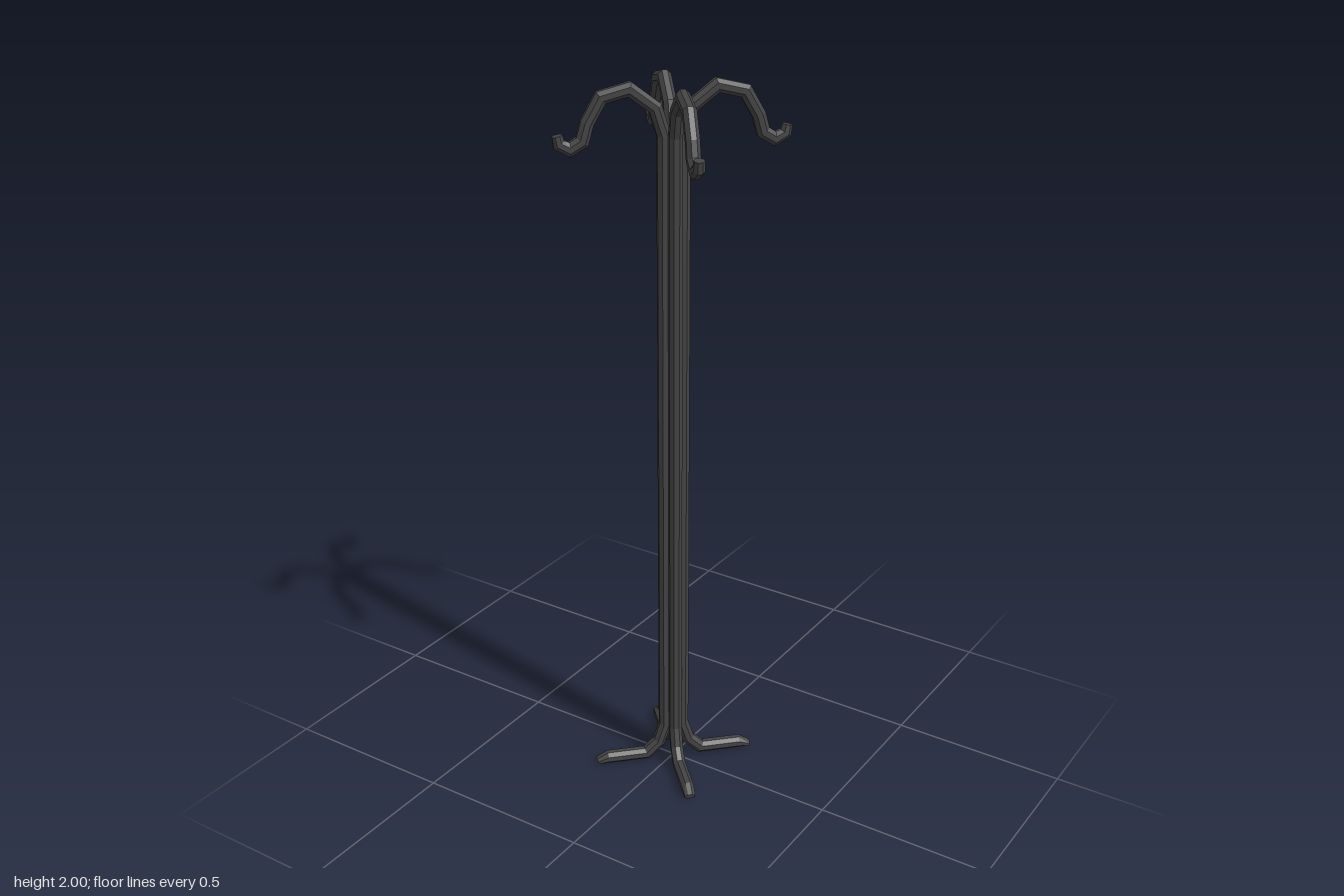
import * as THREE from 'three';

const SIDES = 8;
const RADIUS = 0.0189; // circumradius of the octagonal bar

// Bar centre line: [x offset, height, in-plane thickness, sideways thickness]
const PATH = [
  [0.161, 0.009, 0.45, 0.85],
  [0.138, 0.0175, 1, 1],
  [0.057, 0.0175, 1, 1],
  [0.031, 0.053, 1, 1],
  [0.0177, 0.112, 1, 1],
  [0.0177, 1.862, 1, 1],
  [0.033, 1.932, 1, 1],
  [0.079, 1.982, 1, 1],
  [0.13, 1.964, 1, 1],
  [0.155, 1.902, 1, 1],
  [0.164, 1.857, 1, 1],
  [0.186, 1.838, 0.95, 0.95],
  [0.205, 1.852, 0.85, 0.85],
  [0.208, 1.874, 0.75, 0.75],
];

// Sweeps an octagon along the path with mitred bends and closed ends
function barGeometry() {
  const pts = PATH.map(([x, y]) => new THREE.Vector2(x * Math.SQRT2, y));
  const pos = [];
  const idx = [];
  const last = pts.length - 1;
  pts.forEach((p, i) => {
    const before = pts[i].clone().sub(pts[Math.max(i - 1, 0)]).normalize();
    const after = pts[Math.min(i + 1, last)].clone().sub(p).normalize();
    const t = before.clone().add(after).normalize();
    const mitre = 1 / Math.max(0.6, t.dot(i === 0 ? after : before));
    for (let j = 0; j < SIDES; j++) {
      const a = ((j + 0.5) / SIDES) * Math.PI * 2;
      const n = Math.cos(a) * RADIUS * PATH[i][2] * mitre;
      pos.push(p.x - t.y * n, p.y + t.x * n, Math.sin(a) * RADIUS * PATH[i][3]);
    }
  });
  for (let i = 0; i < last; i++) {
    for (let j = 0; j < SIDES; j++) {
      const a = i * SIDES + j;
      const b = i * SIDES + ((j + 1) % SIDES);
      idx.push(a, b, b + SIDES, a, b + SIDES, a + SIDES);
    }
  }
  // End caps
  const end = last * SIDES;
  for (let j = 1; j < SIDES - 1; j++) {
    idx.push(0, j + 1, j, end, end + j, end + j + 1);
  }
  const geo = new THREE.BufferGeometry();
  geo.setAttribute('position', new THREE.Float32BufferAttribute(pos, 3));
  geo.setIndex(idx);
  const flat = geo.toNonIndexed();
  flat.computeVertexNormals();
  return flat;
}

export function createModel() {
  const group = new THREE.Group();
  group.name = 'coatStand';
  const material = new THREE.MeshStandardMaterial({ color: 0x444444, flatShading: true });
  const geometry = barGeometry();

  // Four bars, each a foot, an upright and a hook, set on the diagonals
  ['backLeftBar', 'backRightBar', 'frontRightBar', 'frontLeftBar'].forEach((name, k) => {
    const bar = new THREE.Mesh(geometry, material);
    bar.name = name;
    bar.rotation.y = Math.PI / 4 + (k * Math.PI) / 2;
    group.add(bar);
  });
  return group;
}
